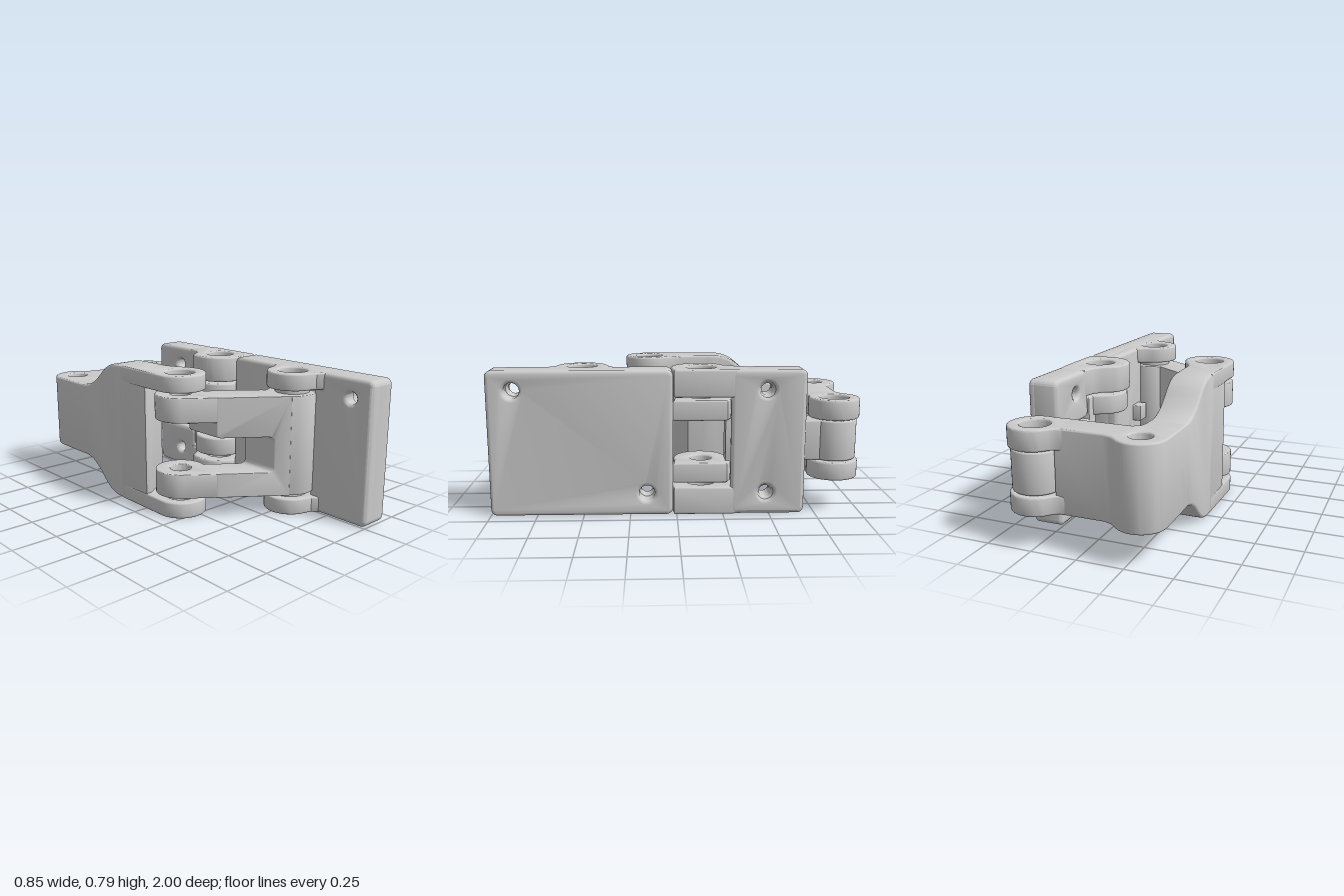
import * as THREE from 'three';
import { toCreasedNormals } from 'three/addons/utils/BufferGeometryUtils.js';

const PIN = 0.058;    // bore of the inner parts
const BORE = 0.078;   // wider bore of the outer lugs
const material = new THREE.MeshStandardMaterial({ color: 0xcccccc });

// Points on an arc in the x-z plane, angles in degrees from +x towards +z
function arc(cx, cz, r, a0, a1) {
  const n = Math.max(6, Math.ceil(Math.abs(a1 - a0) / 8));
  return Array.from({ length: n + 1 }, (_, i) => {
    const a = THREE.MathUtils.degToRad(a0 + ((a1 - a0) * i) / n);
    return [cx + r * Math.cos(a), cz + r * Math.sin(a)];
  });
}

function extrude(shape, depth, bevel) {
  return new THREE.ExtrudeGeometry(shape, {
    depth: depth - 2 * bevel, bevelEnabled: bevel > 0, bevelThickness: bevel, bevelSize: bevel,
    bevelOffset: -bevel, bevelSegments: 3, curveSegments: 20,
  }).translate(0, 0, bevel);
}

function addMesh(parent, name, geometry) {
  const mesh = new THREE.Mesh(toCreasedNormals(geometry, 0.6), material);
  mesh.name = name;
  parent.add(mesh);
}

function circleHole(shape, x, y, r) {
  const hole = new THREE.Path();
  hole.absarc(x, y, r, 0, Math.PI * 2, true);
  shape.holes.push(hole);
}

// Solid with an x-z outline rising from y0 to y1, with an optional pin hole
function upright(parent, name, points, y0, y1, pin, radius = PIN, bevel = 0.01) {
  const shape = new THREE.Shape(points.map(([x, z]) => new THREE.Vector2(x, -z)).reverse());
  if (pin) circleHole(shape, pin[0], -pin[1], radius);
  addMesh(parent, name, extrude(shape, y1 - y0, bevel).rotateX(-Math.PI / 2).translate(0, y0, 0));
}

// Solid with a z-y shape (drawn as -z, y) running from x0 to x1
function sideways(parent, name, shape, x0, x1, bevel = 0.015) {
  addMesh(parent, name, extrude(shape, x1 - x0, bevel).rotateY(Math.PI / 2).translate(x0, 0, 0));
}

function roundedRect(x0, y0, x1, y1, r) {
  const s = new THREE.Shape();
  s.absarc(x1 - r, y0 + r, r, -Math.PI / 2, 0);
  s.absarc(x1 - r, y1 - r, r, 0, Math.PI / 2);
  s.absarc(x0 + r, y1 - r, r, Math.PI / 2, Math.PI);
  s.absarc(x0 + r, y0 + r, r, Math.PI, Math.PI * 1.5);
  return s;
}

// Plate layer facing +x with screw holes that flare at the surface
function slab(parent, name, [z0, z1], [y0, y1], [x0, x1], screws, radius) {
  const shape = roundedRect(-z1, y0, -z0, y1, 0.035);
  screws.forEach(([z, y]) => circleHole(shape, -z, y, radius));
  sideways(parent, name, shape, x0, x1, 0.02);
}

function group(parent, name) {
  const g = new THREE.Group();
  g.name = name;
  parent.add(g);
  return g;
}

export function createModel() {
  const model = new THREE.Group();
  model.name = 'linkageHinge';
  const H = 0.787;
  const A = [0.205, 0.51];     // front plate pivot
  const B = [-0.285, 0.145];   // arm to bracket pivot
  const C = [-0.285, -0.865];  // bracket corner
  const D = [0.275, -0.865];   // bracket to inner link pivot
  const E = [0.275, -0.135];   // rear plate pivot
  const outer = [[0, 0.09], [0.695, H]];

  // Front mounting plate: full outer layer, inner layer parted around the arm barrel, two lugs
  const front = group(model, 'frontPlate');
  const frontScrews = [[0.16, 0.12], [0.865, 0.68]];
  slab(front, 'frontPlateFace', [0.02, 1], [0, H], [0.285, 0.42], frontScrews, 0.042);
  [[0.02, 0.4], [0.62, 1]].forEach((z, i) => {
    slab(front, 'frontPlateBacking', z, [0, H], [0.25, 0.33], [frontScrews[i]], 0.032);
  });
  for (const [y0, y1] of outer) {
    upright(front, 'frontPlateLug', [...arc(...A, 0.14, 110, 255), [0.22, 0.36], [0.245, 0.34],
      [0.3, 0.33], [0.34, 0.36], [0.34, 0.67], [0.3, 0.7], [0.25, 0.69], [0.225, 0.66]], y0, y1, A, BORE);
  }
  upright(front, 'stopBoss', [[0.2, 0.26], [0.2, 0.35], [0.27, 0.35], [0.27, 0.26]], 0.34, 0.44, null, 0, 0.006);
  for (const y of [0.08, 0.66]) {
    upright(front, 'washer', arc(...A, 0.095, 0, 352), y, y + 0.045, A, PIN, 0);
  }

  // Slanted arm: a sheared frame with a forked end and a full-height barrel
  const arm = group(model, 'slantedArm');
  const frame = new THREE.Shape();
  frame.moveTo(-0.22, 0.115);
  frame.lineTo(0.1, 0.115);
  frame.lineTo(0.1, 0.67);
  frame.lineTo(-0.22, 0.67);
  frame.lineTo(-0.22, 0.47);
  frame.quadraticCurveTo(-0.22, 0.45, -0.2, 0.45);
  frame.lineTo(0, 0.45);
  frame.quadraticCurveTo(0.03, 0.45, 0.03, 0.42);
  frame.lineTo(0.03, 0.28);
  frame.quadraticCurveTo(0.03, 0.25, 0, 0.25);
  frame.lineTo(-0.22, 0.25);
  const frameGeo = extrude(frame, 0.225, 0.004);
  const p = frameGeo.attributes.position;
  for (let i = 0; i < p.count; i++) p.setZ(i, p.getZ(i) + 0.158 + 0.745 * (p.getX(i) + 0.2));
  frameGeo.computeVertexNormals();
  addMesh(arm, 'armFrame', frameGeo);
  for (const [y0, y1] of [[0.115, 0.25], [0.535, 0.67]]) {
    upright(arm, 'armFork', [...arc(...B, 0.138, 126.7, 379), [-0.1, 0.233], [-0.1, 0.457]], y0, y1, B, PIN, 0.005);
  }
  upright(arm, 'armBarrel', [...arc(...A, 0.138, 233, 486.7), [0.05, 0.569], [0.05, 0.345]], 0.115, 0.67, A, PIN, 0.005);

  // Corner bracket: tall side wall narrowing to a lower back bar
  const bracket = group(model, 'cornerBracket');
  const wall = new THREE.Shape();
  wall.moveTo(0.17, 0);
  wall.lineTo(0.25, 0);
  wall.bezierCurveTo(0.42, 0, 0.42, 0.18, 0.62, 0.18);
  wall.lineTo(0.72, 0.18);
  wall.lineTo(0.72, 0.62);
  wall.lineTo(0.62, 0.62);
  wall.bezierCurveTo(0.42, 0.62, 0.42, H, 0.25, H);
  wall.lineTo(0.17, H);
  sideways(bracket, 'bracketWall', wall, -0.42, -0.225);
  // Wall end, cut back on the inside to clear the arm
  upright(bracket, 'bracketWallEnd', [[-0.225, -0.22], [-0.225, -0.09], [-0.39, 0.01], [-0.42, 0.01],
    [-0.42, -0.22]], 0, H);
  for (const [y0, y1] of outer) {
    upright(bracket, 'bracketFrontLug', [...arc(...B, 0.14, -35, 180),
      [-0.42, -0.2], [-0.225, -0.2], [-0.22, -0.04], [-0.2, 0.01]], y0, y1, B, BORE);
  }
  upright(bracket, 'bracketBackBar', [...arc(...C, 0.135, 180, 318), [-0.155, -0.93], [-0.11, -0.915],
    [0.145, -0.915], [0.145, -0.73], [-0.18, -0.73], [-0.215, -0.71], [-0.225, -0.67],
    [-0.225, -0.6], [-0.42, -0.6]], 0.18, 0.62, C);
  for (const [y0, y1] of [[0.18, 0.28], [0.51, 0.62]]) {
    upright(bracket, 'bracketBackLug', [...arc(...D, 0.138, -130, 110), [0.2, -0.73], [0.1, -0.73],
      [0.1, -0.915], [0.13, -0.92], [0.16, -0.94]], y0, y1, D, BORE);
  }
  upright(bracket, 'bracketGusset', [[-0.24, -0.74], [0.08, -0.74], [0.03, -0.69], [-0.21, -0.39], [-0.24, -0.37]],
    0.18, 0.4);

  // Inner link: narrow body in the channel of the rear plate, forked at the front
  const link = group(model, 'innerLink');
  upright(link, 'linkBody', [[0.25, -0.73], [0.355, -0.73], [0.355, -0.265], [0.25, -0.265]], 0.285, 0.505);
  for (const [y0, y1] of [[0.175, 0.285], [0.515, 0.625]]) {
    upright(link, 'linkLug', [...arc(...E, 0.15, 75, 225), [0.25, -0.29], [0.36, -0.29],
      [0.41, -0.27], [0.41, 0.02]], y0, y1, E);
  }
  upright(link, 'linkForkBridge', [[0.25, -0.34], [0.355, -0.34], [0.355, -0.265], [0.25, -0.265]], 0.175, 0.625);
  upright(link, 'linkKnuckle', [...arc(...D, 0.125, 125, 405), [0.365, -0.68], [0.25, -0.68]], 0.285, 0.505, D);

  // Rear mounting plate: thick upper and lower halves joined by a skin over the channel
  const rear = group(model, 'rearPlate');
  const screws = [[-0.48, 0.12], [-0.48, 0.68]];
  slab(rear, 'rearPlateSkin', [-0.69, -0.29], [0, H], [0.36, 0.415], screws, 0.042);
  [[0, 0.15, 0, 0.27], [0.64, H, 0.52, H]].forEach(([y0, y1, w0, w1], i) => {
    slab(rear, 'rearPlateWall', [-0.69, -0.345], [w0, w1], [0.25, 0.4], [screws[i]], 0.032);
    upright(rear, 'rearPlateLug', [...arc(...E, 0.165, 90, 215), [0.2, -0.265], [0.235, -0.31],
      [0.25, -0.38], [0.4, -0.38], [0.415, -0.3], [0.415, 0.015]], y0, y1, E, BORE);
  });

  return model;
}
